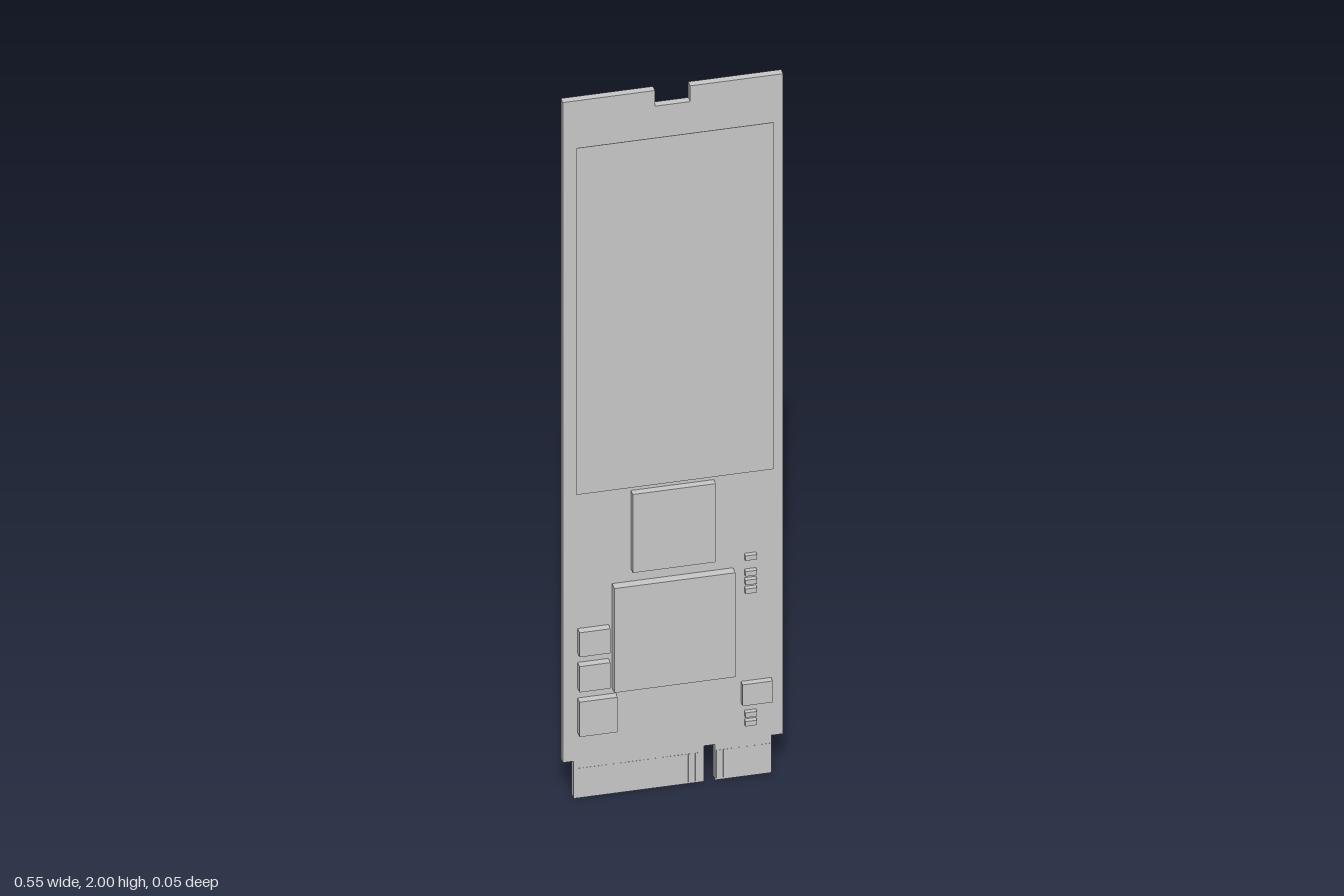
import * as THREE from 'three';

export function createModel() {
  const model = new THREE.Group();
  model.name = 'storageCard';
  const grey = new THREE.MeshStandardMaterial({ color: 0xc7c7c7 });
  grey.name = 'light grey';

  const FRONT = -0.003; // front face of the board
  const BACK = -0.0228; // back face of the board

  // Box given by its limits
  function block(name, x0, x1, y0, y1, z0, z1, parent = model) {
    const mesh = new THREE.Mesh(new THREE.BoxGeometry(x1 - x0, y1 - y0, z1 - z0), grey);
    mesh.position.set((x0 + x1) / 2, (y0 + y1) / 2, (z0 + z1) / 2);
    mesh.name = name;
    parent.add(mesh);
  }

  // Board with screw notch, narrower connector tab and key slot
  const outline = [
    [-0.248, 0], [0.078, 0], [0.078, 0.102], [0.105, 0.102], [0.105, 0], [0.246, 0],
    [0.246, 0.107], [0.275, 0.107], [0.275, 2], [0.043, 2], [0.043, 1.955],
    [-0.045, 1.955], [-0.045, 2], [-0.275, 2], [-0.275, 0.107], [-0.248, 0.107],
  ];
  const boardShape = new THREE.Shape(outline.map(([x, y]) => new THREE.Vector2(x, y)));
  const board = new THREE.Mesh(
    new THREE.ExtrudeGeometry(boardShape, { depth: FRONT - BACK, bevelEnabled: false }), grey);
  board.position.z = BACK;
  board.name = 'circuitBoard';
  model.add(board);

  // Four memory chips in two rows, bridged by the front label
  for (const [y0, y1] of [[0.913, 1.35], [1.417, 1.85]]) {
    block('memoryChip', -0.238, -0.026, y0, y1, FRONT, 0.0205);
    block('memoryChip', 0.026, 0.238, y0, y1, FRONT, 0.0205);
  }
  block('frontLabel', -0.247, 0.245, 0.886, 1.88, 0.0205, 0.022);
  block('backLabel', -0.212, 0.212, 0.25, 1.85, BACK - 0.0006, BACK);

  // Cache and controller chips
  block('cacheChip', -0.105, 0.102, 0.637, 0.862, FRONT, 0.016);
  block('controllerChip', -0.152, 0.15, 0.303, 0.602, FRONT, 0.0205);

  // Power chips beside the controller
  block('powerChip', -0.238, -0.161, 0.416, 0.486, FRONT, 0.017);
  block('powerChip', -0.238, -0.161, 0.315, 0.389, FRONT, 0.017);
  block('powerChip', -0.238, -0.143, 0.187, 0.287, FRONT, 0.017);
  block('regulatorChip', 0.17, 0.245, 0.212, 0.273, FRONT, 0.0135);

  // Small resistors
  for (const y of [0.632, 0.587, 0.562, 0.537, 0.182, 0.157]) {
    block('resistor', 0.178, 0.207, y - 0.007, y + 0.007, FRONT, 0.0095);
  }

  // Edge contacts on both faces of the tab
  const contacts = new THREE.Group();
  contacts.name = 'edgeContacts';
  model.add(contacts);
  for (let x = -0.236; x < 0.24; x += 0.0175) {
    if (x > 0.068 && x < 0.114) continue;
    block('contact', x - 0.006, x + 0.006, 0.005, 0.085, FRONT, FRONT + 0.0006, contacts);
    block('contact', x - 0.006, x + 0.006, 0.005, 0.085, BACK - 0.0006, BACK, contacts);
  }
  return model;
}
